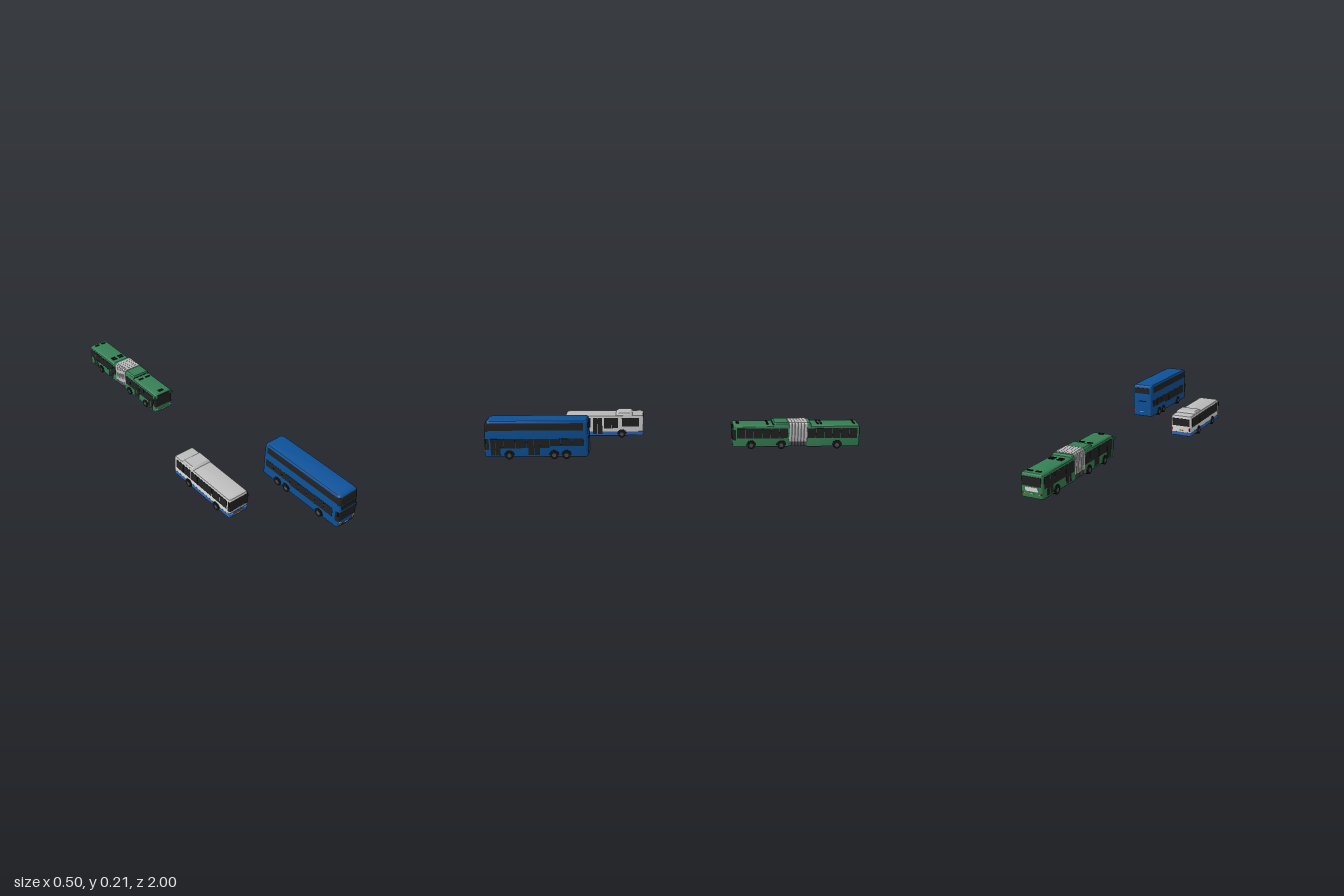
import * as THREE from 'three';
import { toCreasedNormals } from 'three/addons/utils/BufferGeometryUtils.js';

const paint = (name, color) => {
  const m = new THREE.MeshStandardMaterial({ color, side: THREE.DoubleSide });
  m.name = name;
  return m;
};

// Arc of a rounded corner in plan, quadrant q counted from +x towards +z
function corner(cx, cz, r, q) {
  return [0, 1, 2, 3, 4].map(i => {
    const a = (q + i / 4) * Math.PI / 2;
    return [cx + r * Math.cos(a), cz + r * Math.sin(a)];
  });
}

// Skin between stacked plan outlines; closed ones get a floor and a lid
function skin(rows, closed) {
  const n = rows[0].length, pos = rows.flat(2), idx = [];
  for (let k = 0; k < rows.length - 1; k++) {
    for (let i = 0; i < (closed ? n : n - 1); i++) {
      const a = k * n + i, b = k * n + (i + 1) % n;
      idx.push(b, a, a + n, b, a + n, b + n);
    }
  }
  if (closed) {
    const t = (rows.length - 1) * n;
    for (let i = 1; i < n - 1; i++) idx.push(0, i, i + 1, t, t + i + 1, t + i);
  }
  const g = new THREE.BufferGeometry();
  g.setAttribute('position', new THREE.Float32BufferAttribute(pos, 3));
  g.setIndex(idx);
  return toCreasedNormals(g, 0.5);
}

// Rings are [y, halfWidth, frontZ, backZ]
function hull(rings, r, grow = 0) {
  return skin(rings.map(([y, w, f, b]) => {
    const cx = w + grow - r, cf = f + grow - r, cb = b - grow + r;
    return [...corner(cx, cf, r, 0), ...corner(-cx, cf, r, 1),
      ...corner(-cx, cb, r, 2), ...corner(cx, cb, r, 3)].map(([x, z]) => [x, y, z]);
  }), true);
}

function ringAt(rings, y) {
  const k = Math.max(1, rings.findIndex(r => r[0] >= y));
  const a = rings[k - 1], b = rings[k], t = (y - a[0]) / (b[0] - a[0]);
  return a.map((v, i) => v + (b[i] - v) * t);
}

// Glass wrapped round the front corners, running back to zEnd on both sides
function wrapFront(rings, r, y0, y1, zEnd, grow = 0.0012) {
  const ys = [y0, ...rings.map(q => q[0]).filter(y => y > y0 && y < y1), y1];
  return skin(ys.map(y => {
    const [, w, f] = ringAt(rings, y), cx = w + grow - r, cf = f + grow - r;
    return [[w + grow, zEnd], ...corner(cx, cf, r, 0), ...corner(-cx, cf, r, 1), [-w - grow, zEnd]]
      .map(([x, z]) => [x, y, z]);
  }), false);
}

export function createModel() {
  const blue = paint('deep blue', 0x0d5299), green = paint('green', 0x357f55);
  const white = paint('white', 0xdcdcdc), grey = paint('light grey', 0xbcbcbc);
  const dark = paint('dark grey', 0x505050), black = paint('black', 0x151515);
  const glass = paint('dark glass', 0x222222), sky = paint('bright blue', 0x3068ba);
  const amber = paint('amber', 0xe3a21c), red = paint('red', 0xa82a20);
  const model = new THREE.Group();
  model.name = 'busFleet';

  function makeBus(name, x, hw) {
    const group = new THREE.Group();
    group.name = name;
    group.position.x = x;
    model.add(group);
    const add = (part, geo, mat) => {
      const m = new THREE.Mesh(geo, mat);
      m.name = part;
      group.add(m);
      return m;
    };
    const box = (part, mat, w, h, d, px, py, pz) =>
      add(part, new THREE.BoxGeometry(w, h, d), mat).position.set(px, py, pz);
    // Thin plate on one flank, between two z and two y values
    const side = (part, mat, s, z0, z1, y0, y1, out = 0.001) =>
      box(part, mat, 0.002, y1 - y0, Math.abs(z1 - z0), s * (hw + out - 0.001), (y0 + y1) / 2, (z0 + z1) / 2);
    // Row of equal panes
    const panes = (s, z0, z1, n, y0, y1) => {
      const step = (z1 - z0) / n;
      for (let i = 0; i < n; i++) {
        side('sideWindow', glass, s, z0 + i * step + 0.001, z0 + (i + 1) * step - 0.001, y0, y1);
      }
    };
    // Two-leaf door with a centre post
    const door = (s, z0, z1, y1, post) => {
      side('door', glass, s, z0, z1, 0.022, y1, 0.0016);
      side('doorPost', post, s, (z0 + z1) / 2 - 0.001, (z0 + z1) / 2 + 0.001, 0.022, y1, 0.002);
    };
    const axle = z => {
      for (const s of [-1, 1]) {
        const arch = new THREE.CylinderGeometry(0.027, 0.027, 0.002, 20, 1, false, 0, Math.PI).rotateZ(Math.PI / 2);
        add('wheelArch', arch, black).position.set(s * (hw + 0.001), 0.021, z);
        const tyre = new THREE.CylinderGeometry(0.021, 0.021, 0.021, 20).rotateZ(Math.PI / 2);
        add('tyre', tyre, black).position.set(s * (hw - 0.0078), 0.021, z);
        const hub = new THREE.CylinderGeometry(0.011, 0.011, 0.002, 14).rotateZ(Math.PI / 2);
        add('wheelHub', hub, dark).position.set(s * (hw + 0.0028), 0.021, z);
      }
    };
    const underside = (f, b) => box('underside', black, hw * 2 - 0.008, 0.004, f - b - 0.02, 0, 0.0135, (f + b) / 2);
    const mirrors = (y, z, h, mat, out) => {
      for (const s of [-1, 1]) {
        box('mirror', mat, 0.006, h, 0.006, s * (hw + out), y, z);
        box('mirrorArm', mat, out + 0.006, 0.003, 0.003, s * (hw + out / 2), y + h / 2, z - 0.002);
      }
    };
    return { add, box, side, panes, door, axle, underside, mirrors };
  }

  // ---- Double-decker ----
  {
    const f = 0.997, b = 0.458, B = makeBus('doubleDecker', 0.184, 0.0625);
    const rings = [[0.015, 0.0625, f, b], [0.12, 0.0625, f, b], [0.185, 0.0615, f - 0.006, b + 0.002],
      [0.198, 0.06, f - 0.01, b + 0.004], [0.204, 0.056, f - 0.016, b + 0.008], [0.207, 0.048, f - 0.026, b + 0.016]];
    B.add('body', hull(rings, 0.014), blue);
    B.underside(f, b);
    B.add('upperFrontWindow', wrapFront(rings, 0.014, 0.15, 0.198, f - 0.022), glass);
    B.add('upperSideWindows', wrapFront(rings, 0.014, 0.155, 0.193, b + 0.025, 0.0008), glass);
    B.add('windscreen', wrapFront(rings, 0.014, 0.053, 0.112, f - 0.024), glass);
    B.box('destinationSign', glass, 0.1, 0.024, 0.003, 0, 0.131, f - 0.001);
    for (const s of [-1, 1]) {
      B.panes(s, 0.48, 0.66, 3, 0.07, 0.11);
      B.panes(s, 0.66, 0.955, 5, 0.06, 0.11);
      for (const [dx, r] of [[0.049, 0.006], [0.041, 0.004]]) {
        const lamp = new THREE.CylinderGeometry(r, r, 0.003, 14).rotateX(Math.PI / 2);
        B.add('headlight', lamp, dx > 0.045 ? white : grey).position.set(s * dx, dx > 0.045 ? 0.042 : 0.037, f);
      }
      B.box('foglight', amber, 0.008, 0.004, 0.003, s * 0.044, 0.026, f);
      B.box('tailLight', red, 0.007, 0.02, 0.002, s * 0.05, 0.045, b);
    }
    B.door(1, 0.915, 0.965, 0.11, blue);
    B.door(1, 0.71, 0.77, 0.11, blue);
    B.box('numberPlate', white, 0.026, 0.005, 0.002, 0, 0.025, f + 0.001);
    B.box('bumperSlot', black, 0.09, 0.003, 0.002, 0, 0.019, f);
    B.box('rearWindow', glass, 0.096, 0.034, 0.004, 0, 0.17, b + 0.001);
    B.box('engineGrille', black, 0.05, 0.006, 0.002, 0, 0.105, b);
    B.box('rearPlate', amber, 0.022, 0.005, 0.002, 0, 0.04, b);
    [0.87, 0.637, 0.573].forEach(B.axle);
    B.mirrors(0.097, f - 0.008, 0.022, black, 0.0012);
  }

  // ---- White city bus ----
  {
    const f = 0.621, b = 0.176, W = makeBus('cityBus', -0.189, 0.0595);
    const rings = [[0.015, 0.0595, f, b], [0.11, 0.0595, f, b], [0.12, 0.0592, f - 0.002, b + 0.001]];
    W.add('body', hull(rings, 0.009), white);
    W.underside(f, b);
    W.add('roof', hull([[0.12, 0.0592, f - 0.002, b + 0.001], [0.127, 0.0565, f - 0.006, b + 0.004],
      [0.13, 0.05, f - 0.014, b + 0.01]], 0.009), grey);
    W.add('roofUnit', hull([[0.128, 0.057, 0.335, 0.238], [0.135, 0.055, 0.328, 0.243], [0.14, 0.05, 0.32, 0.25]], 0.004), grey);
    W.add('lowerBand', hull([[0.0155, 0.0595, f, b], [0.036, 0.0595, f, b]], 0.009, 0.0006), sky);
    W.add('frontPanel', wrapFront(rings, 0.009, 0.016, 0.049, f - 0.014), sky);
    W.add('windscreen', wrapFront(rings, 0.009, 0.055, 0.119, f - 0.013), glass);
    W.box('grille', dark, 0.06, 0.009, 0.002, 0, 0.037, f + 0.001);
    W.box('grilleBar', sky, 0.046, 0.003, 0.002, 0, 0.037, f + 0.0015);
    W.box('numberPlate', amber, 0.025, 0.007, 0.002, 0, 0.023, f + 0.001);
    for (const s of [-1, 1]) {
      W.box('headlight', white, 0.015, 0.007, 0.002, s * 0.045, 0.038, f + 0.001);
      W.box('foglight', amber, 0.006, 0.004, 0.002, s * 0.047, 0.027, f + 0.001);
      W.box('tailLight', red, 0.006, 0.018, 0.002, s * 0.051, 0.052, b);
      const wiper = new THREE.BoxGeometry(0.045, 0.0015, 0.0015).rotateZ(0.1);
      W.add('wiper', wiper, grey).position.set(s * 0.018, 0.059, f + 0.002);
    }
    W.panes(1, 0.475, 0.555, 1, 0.06, 0.115);
    W.panes(1, 0.32, 0.4, 2, 0.055, 0.115);
    W.panes(1, 0.2, 0.3, 2, 0.065, 0.115);
    W.door(1, 0.56, 0.604, 0.115, white);
    W.door(1, 0.41, 0.462, 0.115, white);
    W.panes(-1, 0.195, 0.6, 7, 0.062, 0.115);
    W.box('rearWindow', glass, 0.104, 0.042, 0.003, 0, 0.092, b);
    W.box('rearPlate', amber, 0.024, 0.006, 0.002, 0, 0.045, b);
    [0.52, 0.3].forEach(W.axle);
    W.mirrors(0.1, f - 0.004, 0.02, black, 0.0005);
  }

  // ---- Articulated bus ----
  {
    const f = -0.31, b = -0.998, A = makeBus('articulatedBus', 0.043, 0.058);
    const shape = (zf, zb) => [[0.015, 0.058, zf, zb], [0.115, 0.058, zf, zb], [0.125, 0.056, zf - 0.003, zb + 0.002],
      [0.131, 0.05, zf - 0.008, zb + 0.006], [0.133, 0.042, zf - 0.014, zb + 0.012]];
    const front = shape(f, -0.622);
    A.add('frontBody', hull(front, 0.009), green);
    A.add('rearBody', hull(shape(-0.706, b), 0.009), green);
    A.underside(f, -0.622);
    A.underside(-0.706, b);
    // Pleated joint between the two sections
    for (let i = 0; i < 6; i++) {
      const z1 = -0.614 - i * 0.0165, z0 = z1 - 0.0155;
      A.add('bellows', hull([[0.04, 0.0585, z1, z0], [0.125, 0.0585, z1, z0], [0.138, 0.055, z1, z0], [0.145, 0.047, z1, z0]], 0.002), grey);
      A.add('bellowsSkirt', hull([[0.015, 0.0565, z1, z0], [0.04, 0.0565, z1, z0]], 0.002), dark);
    }
    for (const [z1, z0] of [[-0.53, -0.616], [-0.704, -0.735]]) {
      A.add('roofFairing', hull([[0.122, 0.0575, z1, z0], [0.138, 0.053, z1 - 0.003, z0 + 0.003],
        [0.144, 0.046, z1 - 0.006, z0 + 0.006]], 0.004), green);
    }
    A.box('roofSeam', black, 0.1, 0.002, 0.004, 0, 0.133, -0.528);
    // Roof hatches
    for (const z of [-0.97, -0.79, -0.772, -0.498]) {
      for (const s of [-1, 1]) A.box('roofHatch', black, 0.028, 0.005, 0.01, s * 0.023, 0.134, z);
    }
    A.box('roofHatch', black, 0.03, 0.005, 0.016, 0, 0.134, -0.337);
    A.add('windscreen', wrapFront(front, 0.009, 0.05, 0.108, f - 0.016), glass);
    A.box('destinationSign', glass, 0.084, 0.018, 0.004, 0, 0.116, f - 0.001);
    for (const s of [-1, 1]) {
      A.panes(s, -0.608, -0.33, 6, 0.06, 0.115);
      A.panes(s, -0.985, -0.715, 6, 0.06, 0.115);
      A.box('headlight', white, 0.012, 0.007, 0.002, s * 0.048, 0.033, f);
      A.box('tailLight', amber, 0.008, 0.006, 0.002, s * 0.04, 0.036, b - 0.001);
      A.box('brakeLight', red, 0.008, 0.006, 0.002, s * 0.049, 0.036, b - 0.001);
    }
    for (const z of [-0.36, -0.495, -0.77, -0.935]) A.door(-1, z - 0.024, z + 0.024, 0.115, green);
    A.box('numberPlate', white, 0.022, 0.004, 0.002, 0, 0.022, f + 0.001);
    A.box('rearWindow', glass, 0.1, 0.044, 0.002, 0, 0.093, b - 0.001);
    A.box('rearPanel', white, 0.066, 0.02, 0.002, 0, 0.056, b - 0.001);
    A.box('rearPlate', amber, 0.022, 0.005, 0.002, 0, 0.036, b - 0.001);
    [-0.41, -0.573, -0.877].forEach(A.axle);
    A.mirrors(0.113, f + 0.002, 0.014, green, 0.005);
  }
  return model;
}
